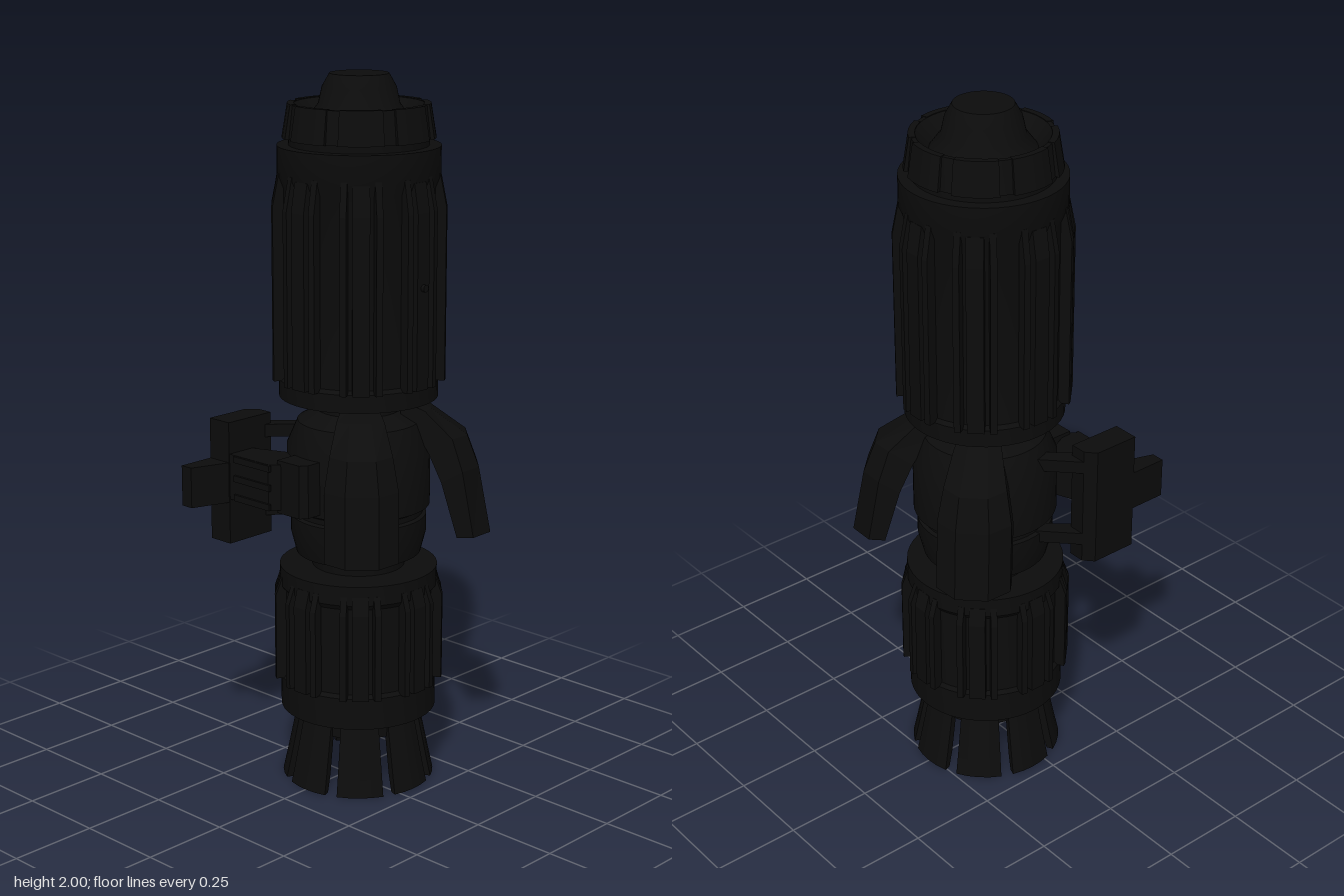
import * as THREE from 'three';
import { toCreasedNormals } from 'three/addons/utils/BufferGeometryUtils.js';

const black = new THREE.MeshStandardMaterial({ color: 0x0c0c0c });
black.name = 'matte black';

function add(parent, geometry, name) {
  const mesh = new THREE.Mesh(geometry, black);
  mesh.name = name;
  parent.add(mesh);
  return mesh;
}

// Turned part: [radius, height] points from bottom to top
function turned(profile) {
  const pts = profile.map(([r, y]) => new THREE.Vector2(r, y));
  return toCreasedNormals(new THREE.LatheGeometry(pts, 48), 0.5);
}

// Closed solid through rings of [x, y, z]; each ring runs along its outer then back along its inner side
function loft(rings) {
  const n = rings[0].length, last = rings.length - 1, tris = [];
  const quad = (a, b, c, d) => tris.push([a, b, c], [a, c, d]);
  for (let k = 0; k < last; k++)
    for (let i = 0; i < n; i++) {
      const j = (i + 1) % n;
      quad(rings[k][i], rings[k][j], rings[k + 1][j], rings[k + 1][i]);
    }
  for (let i = 0; i < n / 2 - 1; i++) {
    const a = rings[0], b = rings[last], o = n - 1 - i;
    quad(a[i], a[o], a[o - 1], a[i + 1]);
    quad(b[i], b[i + 1], b[o - 1], b[o]);
  }
  // Turn the faces outward if the signed volume is negative
  let volume = 0;
  for (const [a, b, c] of tris)
    volume += a[0] * (b[1] * c[2] - b[2] * c[1]) + a[1] * (b[2] * c[0] - b[0] * c[2]) + a[2] * (b[0] * c[1] - b[1] * c[0]);
  if (volume < 0) tris.forEach(t => t.reverse());
  const g = new THREE.BufferGeometry();
  g.setAttribute('position', new THREE.Float32BufferAttribute(tris.flat(2), 3));
  g.computeVertexNormals();
  return g;
}

// Straight rib pointing along +x, rows of [radius, height]
function ribGeometry(rows, width, inner) {
  const w = width / 2;
  return loft(rows.map(([r, y]) => [[r, y, -w], [r, y, w], [inner, y, w], [inner, y, -w]]));
}

// Curved shell segment around +x, rows of [outer, inner, height, halfAngle]
function shellSegment(rows, steps = 4) {
  return loft(rows.map(([ro, ri, y, half]) => {
    const outer = [], inner = [];
    for (let i = 0; i <= steps; i++) {
      const a = -half + 2 * half * i / steps;
      outer.push([ro * Math.cos(a), y, ro * Math.sin(a)]);
      inner.unshift([ri * Math.cos(a), y, ri * Math.sin(a)]);
    }
    return outer.concat(inner);
  }));
}

// Flat slab from a plan outline in x and z
function slab(outline, y0, y1) {
  const shape = new THREE.Shape(outline.map(([x, z]) => new THREE.Vector2(x, z)));
  const g = new THREE.ExtrudeGeometry(shape, { depth: y1 - y0, bevelEnabled: false });
  return g.rotateX(Math.PI / 2).translate(0, y1, 0);
}

export function createModel() {
  const root = new THREE.Group();
  root.name = 'model';
  const shaft = new THREE.Group();
  shaft.name = 'shaft';
  shaft.position.z = -0.05;
  root.add(shaft);

  // Turned core
  add(shaft, turned([[0, 0.16], [0.168, 0.16], [0.168, 0.21], [0.22, 0.21], [0.22, 0.3], [0.21, 0.31],
    [0.21, 0.56], [0.222, 0.575], [0.222, 0.63], [0.13, 0.63], [0.13, 0.67]]), 'lowerGrip');
  add(shaft, turned([[0.13, 0.67], [0.175, 0.67], [0.19, 0.73], [0.19, 0.78], [0.18, 0.785], [0.18, 0.8],
    [0.2, 0.81], [0.2, 0.98], [0.17, 1.05], [0.115, 1.08], [0.11, 1.12]]), 'middleBody');
  add(shaft, turned([[0.11, 1.12], [0.22, 1.12], [0.22, 1.17], [0.21, 1.18], [0.21, 1.7], [0.222, 1.73],
    [0.222, 1.81], [0.19, 1.81], [0.19, 1.83]]), 'upperGrip');
  add(shaft, turned([[0.19, 1.83], [0.197, 1.83], [0.187, 1.92], [0.175, 1.92], [0.14, 1.88]]), 'endCollar');
  add(shaft, turned([[0.14, 1.88], [0.11, 1.92], [0.1, 1.965], [0.08, 2], [0, 2]]), 'endCap');

  // Ribs in eight groups of three, collar pads and tail fins
  const upperSide = ribGeometry([[0.24, 1.17], [0.24, 1.65], [0.222, 1.74]], 0.018, 0.19);
  const upperMid = ribGeometry([[0.236, 1.17], [0.236, 1.65], [0.222, 1.73]], 0.046, 0.19);
  const lowerSide = ribGeometry([[0.24, 0.3], [0.24, 0.55], [0.222, 0.6]], 0.018, 0.19);
  const lowerMid = ribGeometry([[0.236, 0.3], [0.236, 0.55], [0.222, 0.6]], 0.046, 0.19);
  const pad = shellSegment([[0.208, 0.18, 1.83, 0.3], [0.193, 0.175, 1.922, 0.3]]);
  const fin = shellSegment([[0.216, 0.196, 0, 0.31], [0.205, 0.18, 0.05, 0.31], [0.172, 0.15, 0.21, 0.31]]);
  for (let i = 0; i < 8; i++) {
    const angle = i * Math.PI / 4;
    for (const s of [-1, 0, 1]) {
      const turn = angle + s * 0.205;
      add(shaft, s ? upperSide : upperMid, 'upperRib').rotation.y = turn;
      add(shaft, s ? lowerSide : lowerMid, 'lowerRib').rotation.y = turn;
    }
    add(shaft, pad, 'collarPad').rotation.y = angle;
    add(shaft, fin, 'tailFin').rotation.y = angle;
  }

  // Small button on the side
  const button = add(shaft, new THREE.CylinderGeometry(0.01, 0.01, 0.02, 16), 'button');
  button.rotation.z = Math.PI / 2;
  button.position.set(0.236, 1.45, 0);

  // Three faceted flaps: rows of [outer r, outer y, inner r, inner y, half width, edge setback]
  const rows = [[0.13, 1.11, 0.12, 1.06, 0.05, 0.01], [0.2, 1.085, 0.17, 1.04, 0.065, 0.02],
    [0.3, 1.01, 0.235, 0.97, 0.085, 0.045], [0.333, 0.92, 0.275, 0.89, 0.1, 0.05], [0.368, 0.73, 0.322, 0.73, 0.1, 0.052]];
  const flap = loft(rows.map(([ro, yo, ri, yi, h, d]) => {
    const side = [[-h, d], [-0.45 * h, 0], [0.45 * h, 0], [h, d]];
    return [...side.map(([t, e]) => [ro - e, yo, t]), ...side.map(([t, e]) => [ri - e, yi, t]).reverse()];
  }));
  for (const q of [-1, 1, 3]) add(shaft, flap, 'flap').rotation.y = q * Math.PI / 4;

  // Side-mounted bracket
  const bracket = new THREE.Group();
  bracket.name = 'bracket';
  root.add(bracket);
  add(bracket, slab([[-0.298, 0.1], [-0.27, 0.075], [-0.222, 0.075], [-0.222, 0.236], [-0.298, 0.236]], 0.7, 1.05), 'bracketPlate');
  add(bracket, slab([[-0.298, 0.23], [-0.222, 0.23], [-0.26, 0.344], [-0.298, 0.344]], 0.82, 0.935), 'bracketHook');
  add(bracket, slab([[-0.23, 0.15], [-0.1, 0.1], [-0.045, 0.21], [-0.07, 0.234], [-0.23, 0.234]], 0.83, 0.96), 'bracketArm');
  add(bracket, slab([[-0.06, 0.1], [0.04, 0.1], [0.04, 0.19], [0.025, 0.21], [-0.06, 0.21]], 0.82, 0.97), 'armMount');
  for (const y of [0.84, 0.895, 0.95])
    add(bracket, new THREE.BoxGeometry(0.14, 0.018, 0.008), 'armRidge').position.set(-0.13, y, 0.237);
  for (const y of [0.77, 1]) // struts back to the body
    add(bracket, slab([[-0.27, 0.075], [-0.13, -0.06], [-0.11, -0.03], [-0.225, 0.1]], y - 0.018, y + 0.018), 'strut');

  return root;
}
